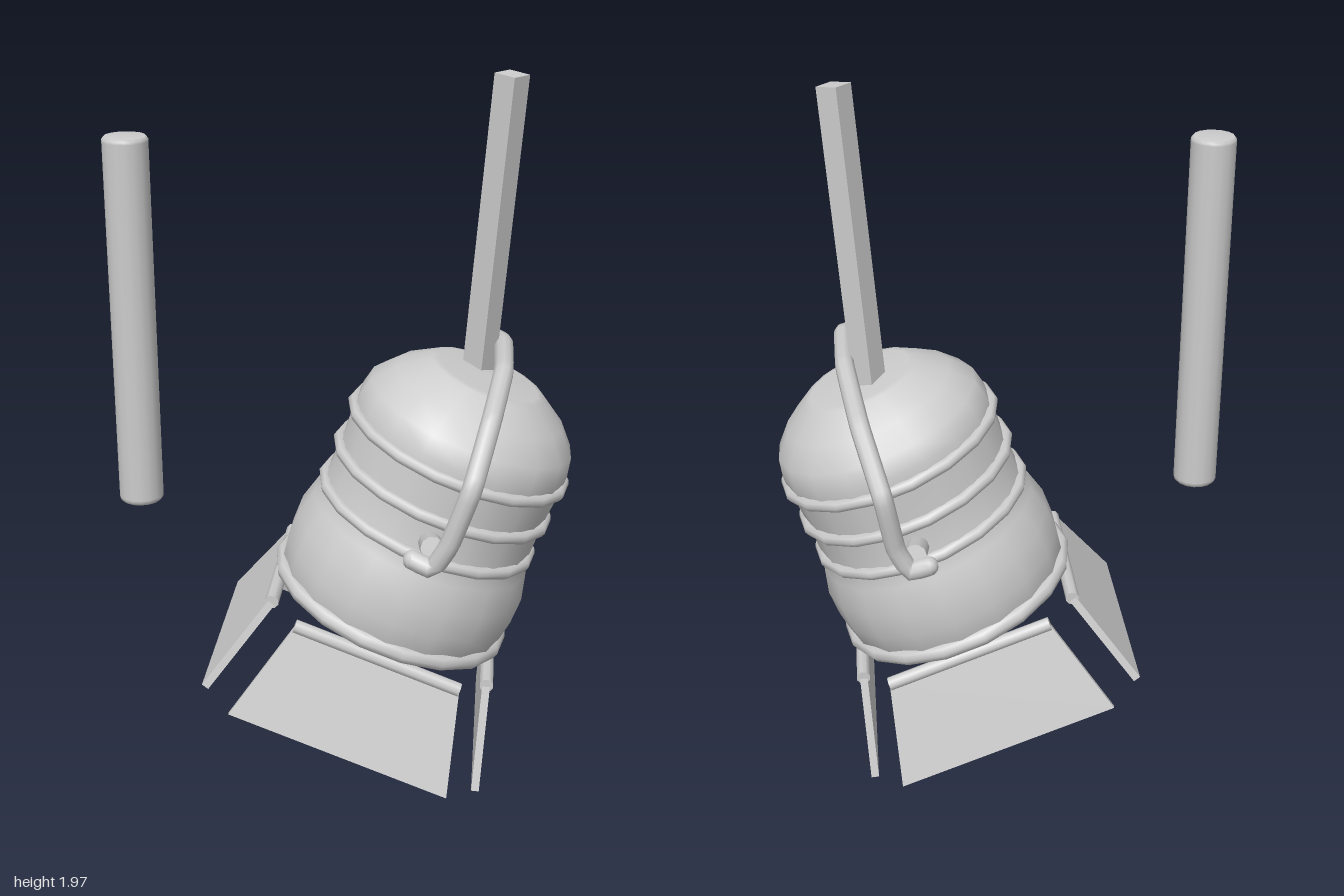
import * as THREE from 'three';

const grey = new THREE.MeshStandardMaterial({ color: 0xcccccc });
grey.name = 'paleGrey';

function part(name, geometry, parent) {
  const mesh = new THREE.Mesh(geometry, grey);
  mesh.name = name;
  parent.add(mesh);
  return mesh;
}

// Aligns a mesh's y axis with the line from a to b and centres it there
function span(mesh, a, b) {
  mesh.position.copy(a).add(b).multiplyScalar(0.5);
  mesh.quaternion.setFromUnitVectors(new THREE.Vector3(0, 1, 0), b.clone().sub(a).normalize());
  return mesh;
}

const V = (x, y, z) => new THREE.Vector3(x, y, z);

export function createModel() {
  const model = new THREE.Group();
  model.name = 'stageLamp';

  // Tilted lamp head; its local y is the barrel axis
  const head = new THREE.Group();
  head.name = 'lampHead';
  head.position.set(0.12, 0.48, 0.01);
  head.rotation.set(0, 0.223, -0.37, 'YXZ');
  model.add(head);

  // Barrel with a wide skirt and a domed, flat-topped cap
  const profile = [
    [0, -0.02], [0.31, -0.02], [0.325, -0.015], [0.342, 0.02], [0.35, 0.08], [0.35, 0.16],
    [0.33, 0.235], [0.315, 0.28], [0.312, 0.4], [0.317, 0.52], [0.316, 0.56],
    [0.304, 0.615], [0.25, 0.675], [0.17, 0.73], [0.15, 0.735], [0, 0.742],
  ].map(([r, y]) => new THREE.Vector2(r, y));
  part('barrel', new THREE.LatheGeometry(profile, 18), head);

  // Bands round the barrel and the rim
  for (const [name, radius, tube, y] of [
    ['rim', 0.335, 0.025, 0], ['lowerBand', 0.315, 0.018, 0.284],
    ['middleBand', 0.315, 0.018, 0.4], ['upperBand', 0.317, 0.018, 0.52],
  ]) {
    const band = part(name, new THREE.TorusGeometry(radius, tube, 8, 18), head);
    band.rotation.x = Math.PI / 2;
    band.position.y = y;
  }

  // Four flared barn doors, each a trapezoid leaf on a hinge rod
  const outline = new THREE.Shape([
    new THREE.Vector2(-0.245, 0), new THREE.Vector2(-0.325, -0.293),
    new THREE.Vector2(0.325, -0.293), new THREE.Vector2(0.245, 0),
  ]);
  const leafGeometry = new THREE.ExtrudeGeometry(outline, { depth: 0.022, bevelEnabled: false });
  leafGeometry.translate(0, 0, -0.011);
  const hingeGeometry = new THREE.CylinderGeometry(0.02, 0.02, 0.49, 8);
  for (let i = 0; i < 4; i++) {
    const door = new THREE.Group();
    door.name = 'barnDoor' + (i + 1);
    door.rotation.y = i * Math.PI / 2;
    head.add(door);
    const leaf = part('doorLeaf', leafGeometry, door);
    leaf.position.set(0, -0.045, 0.325);
    leaf.rotation.x = -0.295;
    const hinge = part('doorHinge', hingeGeometry, door);
    hinge.position.set(0, -0.042, 0.325);
    hinge.rotation.z = Math.PI / 2;
  }

  // Pivot pegs on both sides
  for (const side of [-1, 1]) {
    const peg = part(side > 0 ? 'frontPeg' : 'backPeg', new THREE.CylinderGeometry(0.032, 0.032, 0.1, 10), head);
    span(peg, V(0, 0.345, side * 0.335), V(0, 0.375, side * 0.43));
  }

  // Bent yoke with ends curled round the pegs
  const path = [
    V(0.3, 0.8, 0.42), V(0.355, 0.785, 0.425), V(0.4, 0.86, 0.43), V(0.455, 1.02, 0.425),
    V(0.47, 1.165, 0.29), V(0.455, 1.235, 0.1), V(0.4, 1.235, -0.13), V(0.31, 1.17, -0.37),
    V(0.23, 1.02, -0.485), V(0.205, 0.86, -0.46), V(0.17, 0.79, -0.45), V(0.12, 0.805, -0.445),
  ];
  const curve = new THREE.CatmullRomCurve3(path, false, 'catmullrom', 0.15);
  part('yoke', new THREE.TubeGeometry(curve, 66, 0.027, 10, false), model);
  for (const end of [path[0], path[path.length - 1]]) {
    part('yokeTip', new THREE.SphereGeometry(0.027, 10, 8), model).position.copy(end);
  }

  // Square hanging bar
  const low = V(0.341, 1.15, -0.084), high = V(0.418, 1.997, -0.048);
  const bar = span(part('hangingBar', new THREE.BoxGeometry(0.066, low.distanceTo(high), 0.066), model), low, high);
  bar.rotateY(-0.42);

  // Separate upright rod with softened ends
  const rodProfile = [[0, 0.775], [0.056, 0.775], [0.0625, 0.783], [0.0625, 0.79],
    [0.0625, 1.81], [0.0625, 1.817], [0.056, 1.825], [0, 1.825]]
    .map(([r, y]) => new THREE.Vector2(r, y));
  part('uprightRod', new THREE.LatheGeometry(rodProfile, 16), model).position.set(-0.57, 0, 0.215);

  return model;
}
